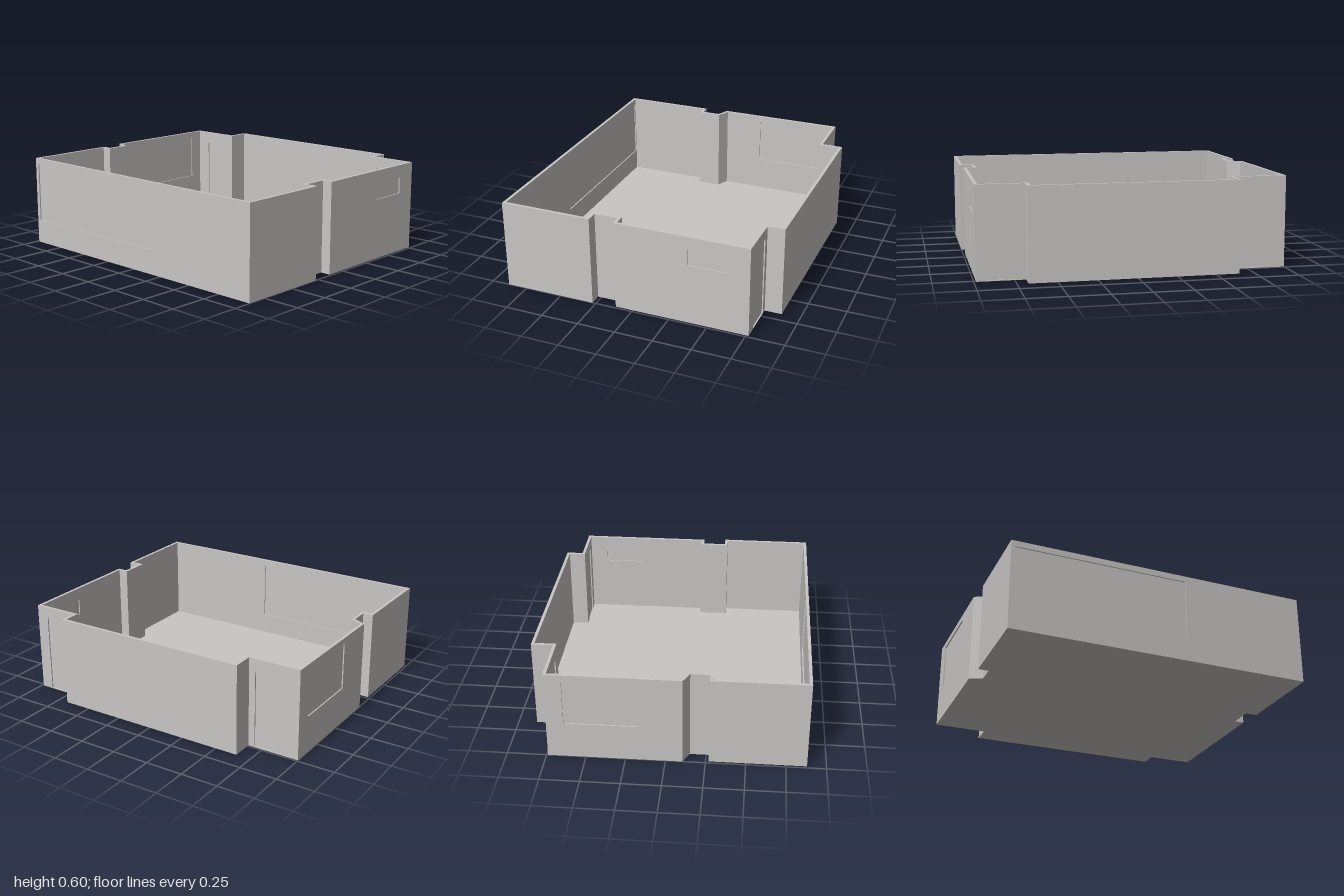
import * as THREE from 'three';

const HEIGHT = 0.595;
const THICK = 0.02;
const FLOOR = 0.015;
const PANE = 0.004;

// Outer wall corners (x, z), counter-clockwise seen from above
const PLAN = [
  [-0.88, 1], [-0.272, 1], [-0.272, 0.92], [-0.116, 0.92], [-0.116, 0.986],
  [0.768, 0.986], [0.768, 0.68], [0.88, 0.68], [0.88, -0.652], [0.74, -0.652],
  [0.74, -1], [-0.108, -1], [-0.147, -0.917], [-0.27, -0.917], [-0.27, -0.985], [-0.88, -0.985],
].map(([x, z]) => new THREE.Vector2(x, z));

// Openings by wall index: distance along the wall and height range
const OPENINGS = {
  4: { name: 'frontWindow', u: [0.484, 0.743], y: [0.402, 0.508] },
  5: { name: 'frontDoor', u: [0.08, 0.27], y: [0.005, 0.525] },
  9: { name: 'backDoor', u: [0.043, 0.231], y: [0.005, 0.51] },
  10: { name: 'backWindow', u: [0.11, 0.573], y: [0.246, 0.555] },
  15: { name: 'sideWindow', u: [0.027, 1.16], y: [0.16, 0.555] },
};

const N = PLAN.length;
const at = (i) => PLAN[(i + N) % N];
const direction = (i) => at(i + 1).clone().sub(at(i)).normalize();
const outward = (i) => { const d = direction(i); return new THREE.Vector2(-d.y, d.x); };

// Mitred corner on the inside of the walls
function innerCorner(i) {
  const a = outward(i - 1), b = outward(i);
  const shift = a.clone().add(b).multiplyScalar(THICK / (1 + a.dot(b)));
  return at(i).clone().sub(shift);
}

function rectangle(Type, u0, u1, y0, y1) {
  const r = new Type();
  r.moveTo(u0, y0);
  r.lineTo(u1, y0);
  r.lineTo(u1, y1);
  r.lineTo(u0, y1);
  r.closePath();
  return r;
}

function buildWall(i, material) {
  const start = at(i), d = direction(i);
  const length = start.distanceTo(at(i + 1));
  const group = new THREE.Group();
  group.name = 'wallSection' + (i + 1);
  group.position.set(start.x, 0, start.y);
  group.rotation.y = Math.atan2(-d.y, d.x);

  const shape = rectangle(THREE.Shape, 0, length, 0, HEIGHT);
  const opening = OPENINGS[i];
  if (opening) shape.holes.push(rectangle(THREE.Path, ...opening.u, ...opening.y));
  const geometry = new THREE.ExtrudeGeometry(shape, { depth: THICK, bevelEnabled: false });
  geometry.translate(0, 0, -THICK);

  // Slide the inner end edges to the mitred corners
  const innerStart = innerCorner(i).sub(start).dot(d);
  const innerEnd = innerCorner(i + 1).sub(start).dot(d);
  const pos = geometry.attributes.position;
  for (let k = 0; k < pos.count; k++) {
    if (pos.getZ(k) > -THICK / 2) continue;
    if (Math.abs(pos.getX(k)) < 1e-5) pos.setX(k, innerStart);
    else if (Math.abs(pos.getX(k) - length) < 1e-5) pos.setX(k, innerEnd);
  }
  geometry.computeVertexNormals();
  const wall = new THREE.Mesh(geometry, material);
  wall.name = 'wall';
  group.add(wall);

  // Thin panel recessed from both faces
  if (opening) {
    const [u0, u1] = opening.u, [y0, y1] = opening.y;
    const panel = new THREE.Mesh(new THREE.BoxGeometry(u1 - u0, y1 - y0, PANE), material);
    panel.position.set((u0 + u1) / 2, (y0 + y1) / 2, -THICK / 2);
    panel.name = opening.name;
    group.add(panel);
  }
  return group;
}

export function createModel() {
  const model = new THREE.Group();
  model.name = 'room';
  const plaster = new THREE.MeshStandardMaterial({ color: 0xc8c6c4 });
  plaster.name = 'plasterGrey';

  for (let i = 0; i < N; i++) model.add(buildWall(i, plaster));

  // Floor slab inside the walls
  const outline = new THREE.Shape(PLAN.map((p, i) => {
    const c = innerCorner(i);
    return new THREE.Vector2(c.x, -c.y);
  }));
  const slab = new THREE.ExtrudeGeometry(outline, { depth: FLOOR, bevelEnabled: false });
  slab.rotateX(-Math.PI / 2);
  const floor = new THREE.Mesh(slab, plaster);
  floor.name = 'floor';
  model.add(floor);

  return model;
}
